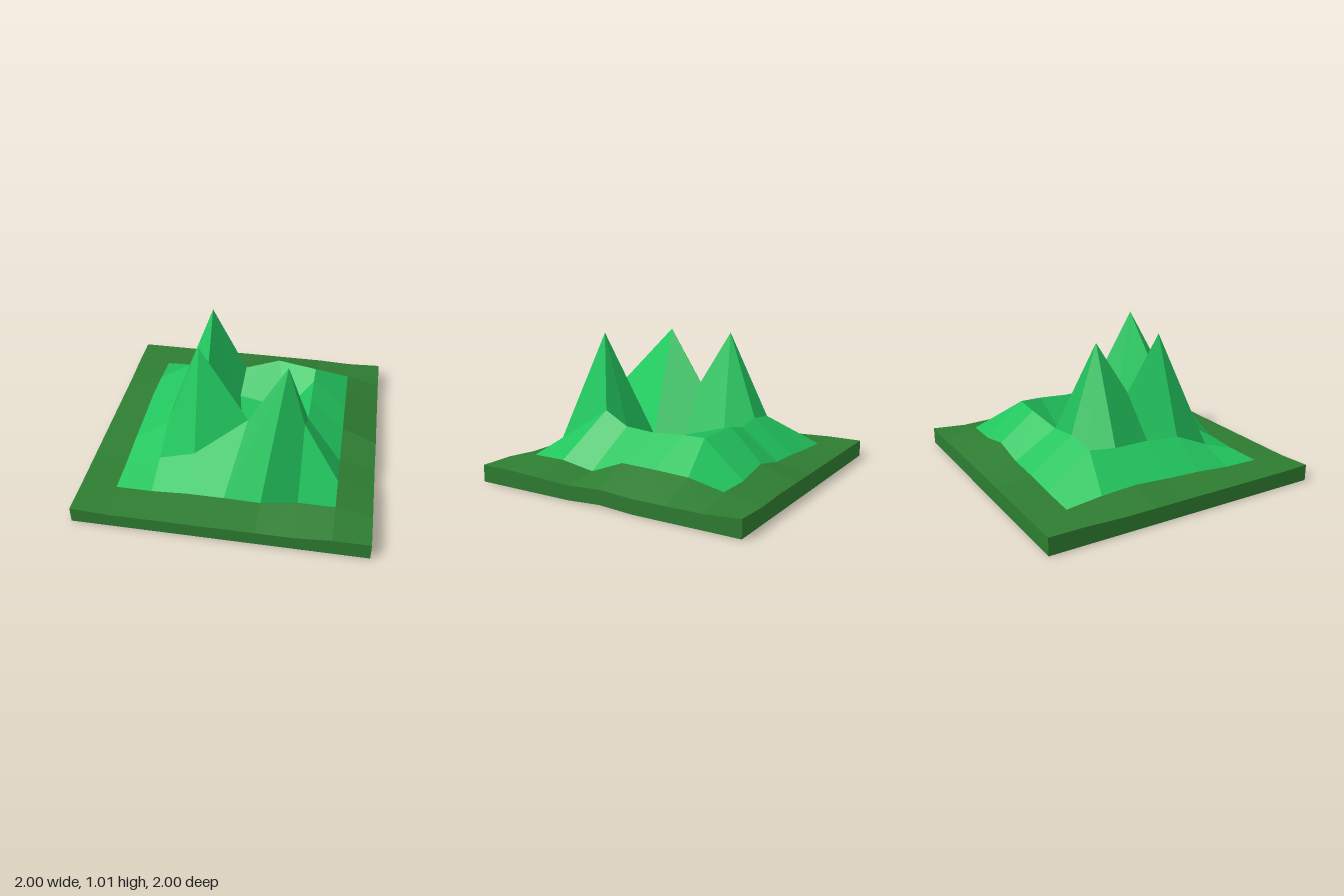
import * as THREE from 'three';

const N = 9;

// Ground heights on a 9 x 9 grid: rows run from z = -1 to 1, columns from x = -1 to 1
const HEIGHTS = [
  [0.12, 0.12, 0.12, 0.12, 0.12, 0.12, 0.12, 0.11, 0.12],
  [0.12, 0.12, 0.13, 0.15, 0.16, 0.21, 0.16, 0.16, 0.10],
  [0.11, 0.15, 0.35, 0.38, 0.36, 0.42, 0.40, 0.21, 0.10],
  [0.11, 0.165, 0.33, 0.99, 0.20, 0.17, 0.40, 0.22, 0.10],
  [0.11, 0.15, 0.33, 0.60, 0.20, 0.17, 0.385, 0.225, 0.115],
  [0.11, 0.14, 0.31, 0.99, 0.22, 0.14, 0.40, 0.13, 0.10],
  [0.11, 0.12, 0.20, 0.275, 0.60, 1.01, 0.49, 0.17, 0.11],
  [0.11, 0.115, 0.115, 0.13, 0.13, 0.125, 0.17, 0.17, 0.12],
  [0.115, 0.10, 0.10, 0.10, 0.10, 0.10, 0.10, 0.12, 0.12],
];

// Grid points pulled sideways, keyed "row,column" -> [x, z]
const MOVED = {
  '2,2': [-0.49, -0.44], '2,3': [-0.26, -0.45], '2,4': [-0.04, -0.46], '2,5': [0.21, -0.51], '2,6': [0.5, -0.47],
  '3,4': [-0.06, -0.3], '3,5': [0.31, -0.24], '3,6': [0.5, -0.31],
  '4,5': [0.3, -0.01], '4,6': [0.5, -0.08],
  '5,5': [0.35, 0.25], '5,6': [0.5, 0.14],
  '6,4': [0.12, 0.47], '6,5': [0.37, 0.41], '6,6': [0.49, 0.32],
};

function gridPoint(row, col) {
  const [x, z] = MOVED[`${row},${col}`] ?? [col / 4 - 1, row / 4 - 1];
  return new THREE.Vector3(x, HEIGHTS[row][col], z);
}

// Builds a mesh of four-cornered facets, each with one normal and folded along its higher diagonal
function facetMesh(name, quads, color) {
  const positions = [];
  const normals = [];
  for (const [a, b, c, d] of quads) {
    const normal = c.clone().sub(a).cross(d.clone().sub(b)).normalize();
    const corners = a.y + c.y >= b.y + d.y ? [a, b, c, a, c, d] : [a, b, d, b, c, d];
    for (const p of corners) {
      positions.push(p.x, p.y, p.z);
      normals.push(normal.x, normal.y, normal.z);
    }
  }
  const geometry = new THREE.BufferGeometry();
  geometry.setAttribute('position', new THREE.Float32BufferAttribute(positions, 3));
  geometry.setAttribute('normal', new THREE.Float32BufferAttribute(normals, 3));
  const mesh = new THREE.Mesh(geometry, new THREE.MeshStandardMaterial({ color, side: THREE.DoubleSide }));
  mesh.name = name;
  return mesh;
}

export function createModel() {
  const group = new THREE.Group();
  group.name = 'mountainTile';

  // Split the grid cells into the outer border and the hills inside it
  const border = [];
  const hills = [];
  const last = N - 1;
  for (let r = 0; r < last; r++) {
    for (let c = 0; c < last; c++) {
      const outer = r === 0 || c === 0 || r === last - 1 || c === last - 1;
      (outer ? border : hills).push([
        gridPoint(r, c), gridPoint(r + 1, c), gridPoint(r + 1, c + 1), gridPoint(r, c + 1),
      ]);
    }
  }

  // Walk around the rim and drop a wall to the ground
  const rim = [];
  for (let i = 0; i < last; i++) rim.push([last, i]);
  for (let i = last; i > 0; i--) rim.push([i, last]);
  for (let i = last; i > 0; i--) rim.push([0, i]);
  for (let i = 0; i < last; i++) rim.push([i, 0]);
  const foot = ([r, c]) => gridPoint(r, c).setY(r === 4 && c === last ? 0.015 : 0);
  const walls = rim.map((p, i) => {
    const q = rim[(i + 1) % rim.length];
    return [gridPoint(...p), foot(p), foot(q), gridPoint(...q)];
  });

  group.add(
    facetMesh('hills', hills, 0x22c55e),
    facetMesh('border', border, 0x2e7d32),
    facetMesh('sideWalls', walls, 0x2e7d32),
  );
  return group;
}
